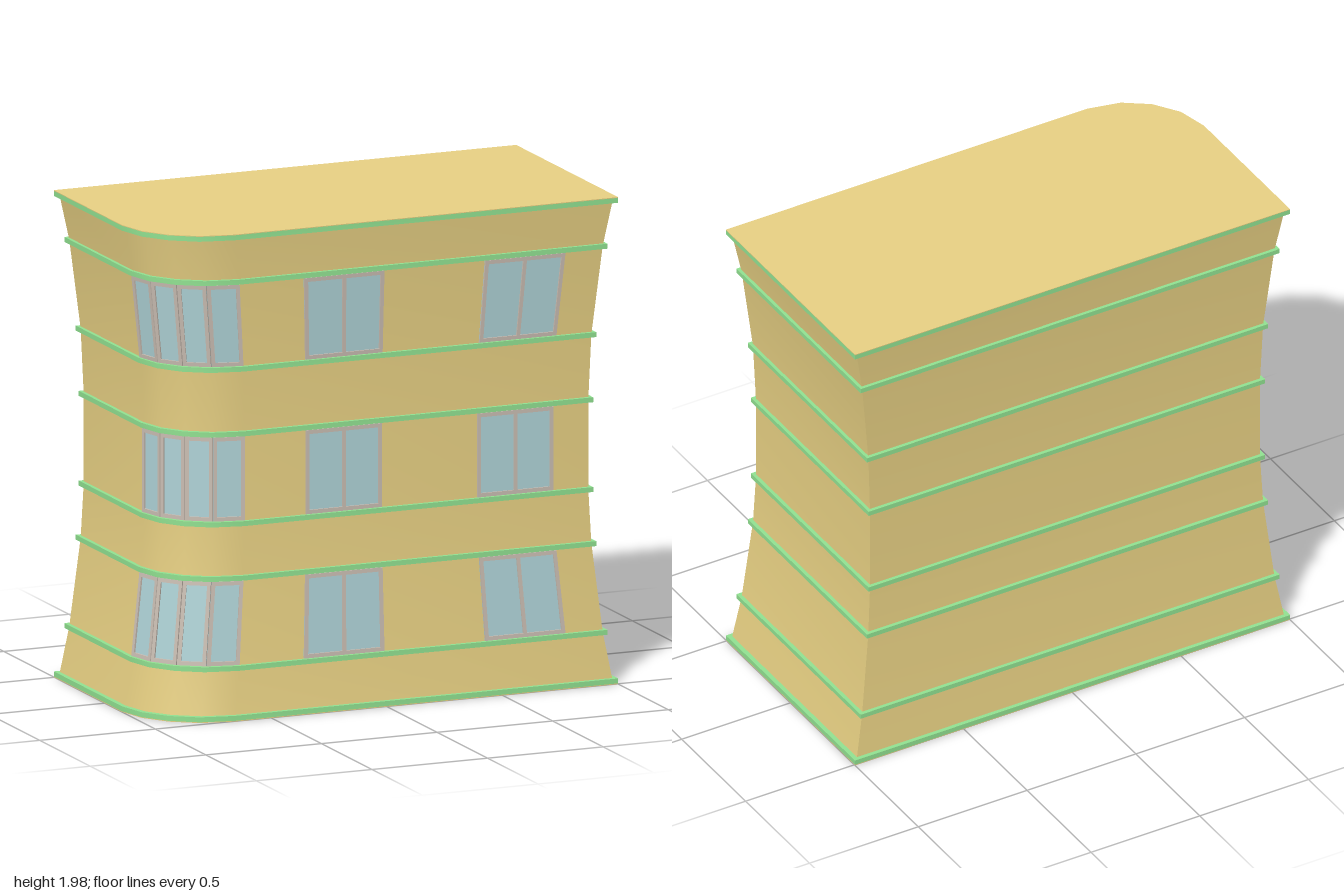
import * as THREE from 'three';
import { toCreasedNormals } from 'three/addons/utils/BufferGeometryUtils.js';

const wallMat = new THREE.MeshStandardMaterial({ color: 0xe6cf82 });
const trimMat = new THREE.MeshStandardMaterial({ color: 0x90e090 });
const glassMat = new THREE.MeshStandardMaterial({ color: 0xaed2d6 });
const frameMat = new THREE.MeshStandardMaterial({ color: 0xc9bdb2 });

// Floor plan (x, z): a rectangle with the front right corner rounded
const HX = 0.985, HZ = 0.49;
const plan = [
  [-HX, -HZ], [HX, -HZ], [HX, HZ],
  [-0.65, HZ], [-0.785, 0.46], [-0.885, 0.39], [-0.955, 0.29], [-HX, 0.165],
];

// Waisted profile: height and scale of the plan
const TOP = 1.98;
const profile = [
  [0, 1], [0.21, 0.962], [0.57, 0.921], [0.79, 0.91],
  [1.155, 0.91], [1.42, 0.921], [1.78, 0.962], [TOP, 1],
];

function scaleAt(y) {
  for (let i = 1; i < profile.length; i++) {
    const [y0, s0] = profile[i - 1], [y1, s1] = profile[i];
    if (y <= y1) return s0 + (s1 - s0) * (y - y0) / (y1 - y0);
  }
  return 1;
}

// Plan outline at a given height, pushed outward by o
const outline = (y, s, o = 0) =>
  plan.map(([x, z]) => [x * (s + o / HX), y, z * (s + o / HZ)]);

// Closed solid through rings of points
function loft(rings) {
  const n = rings[0].length, last = rings.length - 1, pos = [];
  const tri = (a, b, c) => pos.push(...a, ...b, ...c);
  for (let r = 0; r < last; r++) {
    const a = rings[r], b = rings[r + 1];
    for (let i = 0; i < n; i++) {
      const j = (i + 1) % n;
      tri(a[i], b[i], b[j]);
      tri(a[i], b[j], a[j]);
    }
  }
  for (let i = 1; i < n - 1; i++) {
    tri(rings[0][0], rings[0][i], rings[0][i + 1]);
    tri(rings[last][0], rings[last][i + 1], rings[last][i]);
  }
  const g = new THREE.BufferGeometry();
  g.setAttribute('position', new THREE.Float32BufferAttribute(pos, 3));
  g.computeVertexNormals();
  return toCreasedNormals(g, 0.5);
}

function add(parent, name, geometry, material) {
  const mesh = new THREE.Mesh(geometry, material);
  mesh.name = name;
  parent.add(mesh);
}

// Slab lying on the leaning wall from plan point a to b, standing out by depth
function slab(a, b, y0, y1, depth) {
  const dx = b[0] - a[0], dz = b[1] - a[1], len = Math.hypot(dx, dz);
  const nx = dz / len, nz = -dx / len;
  const ring = (y) => {
    const s = scaleAt(y);
    const at = (p, o) => [p[0] * s + nx * o, y, p[1] * s + nz * o];
    return [at(a, depth), at(b, depth), at(b, -0.01), at(a, -0.01)];
  };
  return loft([ring(y0), ring(y1)]);
}

// Framed window from plan point a to b with a number of panes
function makeWindow(name, a, b, y0, y1, panes) {
  const g = new THREE.Group();
  g.name = name;
  const bar = 0.016, len = Math.hypot(b[0] - a[0], b[1] - a[1]);
  const along = (d) => [a[0] + (b[0] - a[0]) * d / len, a[1] + (b[1] - a[1]) * d / len];
  add(g, 'glass', slab(a, b, y0, y1, 0.003), glassMat);
  add(g, 'sill', slab(a, b, y0, y0 + bar, 0.01), frameMat);
  add(g, 'head', slab(a, b, y1 - bar, y1, 0.01), frameMat);
  for (let i = 0; i <= panes; i++) {
    const d = (len - bar) * i / panes;
    add(g, 'post', slab(along(d), along(d + bar), y0 + bar, y1 - bar, 0.01), frameMat);
  }
  return g;
}

export function createModel() {
  const model = new THREE.Group();
  model.name = 'building';

  // Walls, roof and base
  add(model, 'walls', loft(profile.map(([y, s]) => outline(Math.min(y, TOP - 0.004), s))), wallMat);
  add(model, 'roof', loft([outline(TOP - 0.003, 1, 0.015), outline(TOP, 1, 0.015)]), wallMat);
  add(model, 'base', loft([outline(0, 1, 0.015), outline(0.003, 1, 0.015)]), wallMat);

  // Green string courses
  for (const [y, s] of profile) {
    const c = THREE.MathUtils.clamp(y, 0.013, TOP - 0.013);
    add(model, 'stringCourse', loft([outline(c - 0.01, s, 0.015), outline(c + 0.01, s, 0.015)]), trimMat);
  }

  // Three storeys of windows: two on the front, one wrapping the rounded corner
  for (const [bottom, top] of [[0.21, 0.57], [0.79, 1.155], [1.42, 1.78]]) {
    const y0 = bottom + 0.012, y1 = top - 0.012;
    for (const x of [0, 0.815])
      model.add(makeWindow('frontWindow', [x, HZ], [x - 0.36, HZ], y0, y1, 2));
    for (let i = 3; i < 7; i++)
      model.add(makeWindow('cornerWindow', plan[i], plan[i + 1], y0, y1, 1));
  }
  return model;
}
